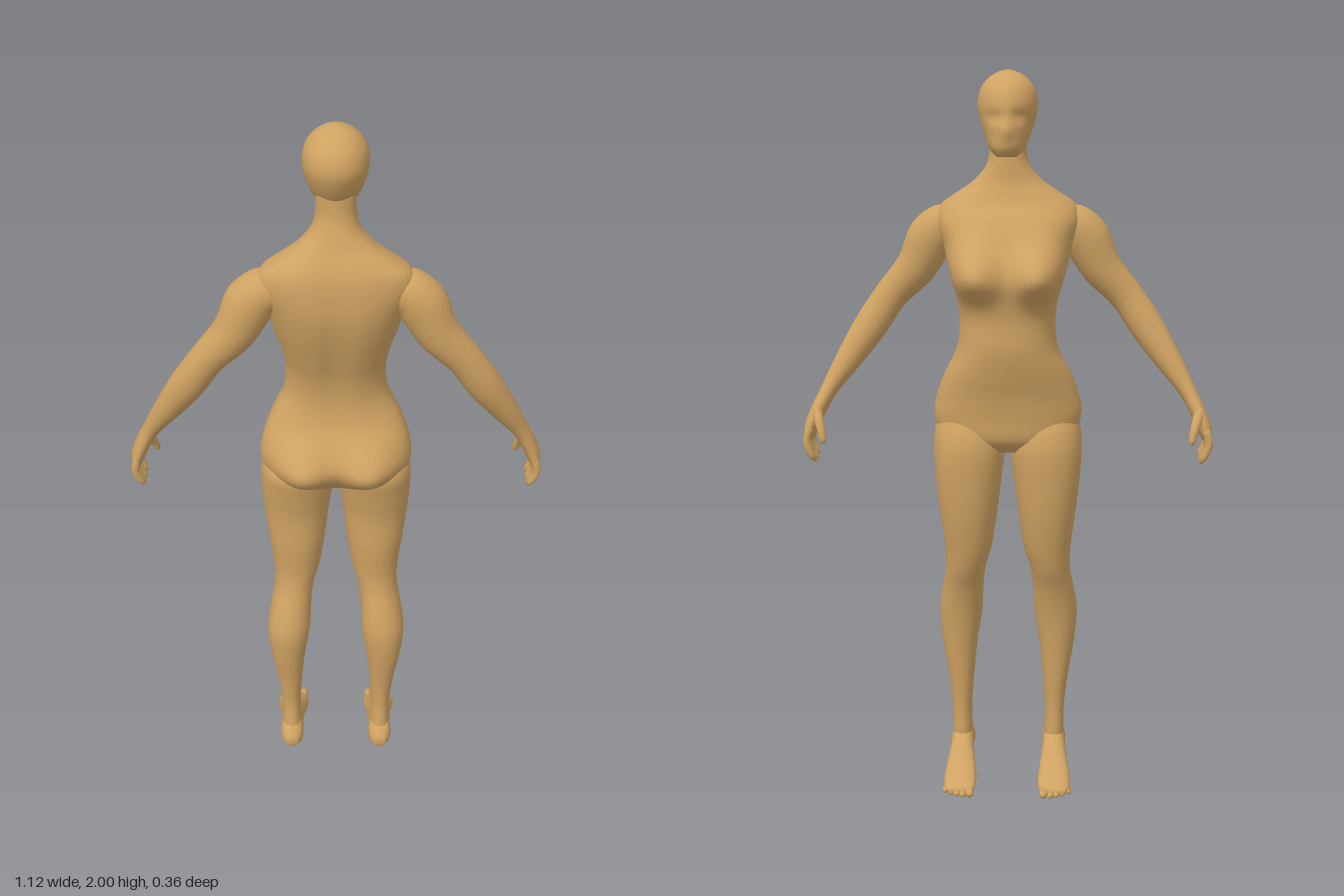
import * as THREE from 'three';

const V = (x, y, z) => new THREE.Vector3(x, y, z);
const skin = new THREE.MeshStandardMaterial({ color: 0xcfa262 });
skin.name = 'skin';

// Smooth closed skin through rings of points; "rule" may move each vertex
function loft(rings, steps = 4, rule) {
  const n = rings[0].length, rows = (rings.length - 1) * steps + 1;
  const pos = [], idx = [];
  const columns = rings[0].map((_, j) => new THREE.CatmullRomCurve3(rings.map(r => r[j])));
  for (let i = 0; i < rows; i++) {
    for (const column of columns) {
      const p = column.getPoint(i / (rows - 1));
      if (rule) rule(p);
      pos.push(p.x, p.y, p.z);
    }
  }
  for (let i = 0; i < rows - 1; i++) {
    for (let j = 0; j < n; j++) {
      const a = i * n + j, b = i * n + (j + 1) % n;
      idx.push(a, b, a + n, b, b + n, a + n);
    }
  }
  // end caps
  for (const row of [0, rows - 1]) {
    const c = V(0, 0, 0);
    for (let j = 0; j < n; j++) c.add(V(...pos.slice((row * n + j) * 3, (row * n + j) * 3 + 3)));
    c.divideScalar(n);
    const k = pos.length / 3;
    pos.push(c.x, c.y, c.z);
    for (let j = 0; j < n; j++) {
      const a = row * n + j, b = row * n + (j + 1) % n;
      if (row) idx.push(a, b, k); else idx.push(b, a, k);
    }
  }
  const g = new THREE.BufferGeometry();
  g.setAttribute('position', new THREE.Float32BufferAttribute(pos, 3));
  g.setIndex(idx);
  g.computeVertexNormals();
  return g;
}

// Ring around c: u sideways, v on one side and w on the other, e = squareness
function ring(c, u, v, w, n, e = 2) {
  return Array.from({ length: n }, (_, j) => {
    const a = j / n * Math.PI * 2, co = Math.cos(a), si = Math.sin(a);
    const p = Math.sign(co) * Math.abs(co) ** (2 / e), q = Math.abs(si) ** (2 / e);
    return c.clone().addScaledVector(u, p).addScaledVector(si > 0 ? v : w, q);
  });
}

// Level ring: height, x centre, half width, front z, widest z, rear z
const level = (y, x, hw, zf, zc, zb, n, e) =>
  ring(V(x, y, zc), V(hw, 0, 0), V(0, 0, zf - zc), V(0, 0, zb - zc), n, e);

// Limb along a path of [x, y, z, half thickness, half depth]
function limb(path, n, steps) {
  const pts = path.map(p => V(p[0], p[1], p[2]));
  return loft(path.map((p, i) => {
    const d = pts[Math.min(i + 1, pts.length - 1)].clone().sub(pts[Math.max(i - 1, 0)]).normalize();
    const u = V(0, 0, -1).cross(d).normalize(), v = d.clone().cross(u);
    return ring(pts[i], u.multiplyScalar(p[3]), v.clone().multiplyScalar(p[4]),
      v.clone().multiplyScalar(-p[4]), n);
  }), steps);
}

function mirrored(g) {
  const m = g.clone().scale(-1, 1, 1), ix = m.index.array;
  for (let i = 0; i < ix.length; i += 3) [ix[i], ix[i + 1]] = [ix[i + 1], ix[i]];
  m.computeVertexNormals();
  return m;
}

const bump = (x, y, sx, sy) => Math.exp(-((x / sx) ** 2 + (y / sy) ** 2) / 2);

export function createModel() {
  const model = new THREE.Group();
  model.name = 'figure';
  const add = (name, g) => {
    const m = new THREE.Mesh(g, skin);
    m.name = name;
    model.add(m);
  };
  const pair = (name, g) => {
    add('left' + name, g);
    add('right' + name, mirrored(g));
  };

  // torso and neck: y, half width, front z, widest z, rear z
  const torso = [
    [0.985, 0.09, -0.03, 0.04, 0.08], [1.02, 0.18, -0.06, 0.04, 0.115],
    [1.08, 0.203, -0.068, 0.04, 0.145], [1.14, 0.195, -0.078, 0.04, 0.135],
    [1.2, 0.172, -0.095, 0.03, 0.11], [1.27, 0.138, -0.11, 0.02, 0.1],
    [1.34, 0.13, -0.11, 0.02, 0.11], [1.4, 0.137, -0.115, 0.03, 0.13],
    [1.48, 0.16, -0.11, 0.04, 0.155], [1.55, 0.176, -0.085, 0.06, 0.168],
    [1.61, 0.195, -0.055, 0.08, 0.166], [1.65, 0.185, -0.025, 0.09, 0.16],
    [1.68, 0.145, -0.012, 0.09, 0.15], [1.71, 0.1, -0.003, 0.085, 0.135],
    [1.75, 0.062, 0, 0.065, 0.118], [1.79, 0.05, 0.003, 0.055, 0.104],
    [1.85, 0.05, 0.005, 0.055, 0.1],
  ].map(([y, w, f, c, b]) => level(y, 0, w, f, c, b, 56, 2.3));
  add('torso', loft(torso, 5, p => {
    const ax = Math.abs(p.x);
    const front = THREE.MathUtils.smoothstep(0.05 - p.z, 0, 0.1);
    const rear = THREE.MathUtils.smoothstep(p.z - 0.04, 0, 0.07);
    // chest, buttocks and spine hollow
    p.z -= front * 0.078 * bump(ax - 0.095, p.y - 1.455, 0.052, p.y < 1.455 ? 0.036 : 0.062);
    p.z += rear * 0.05 * bump(ax - 0.09, p.y - 1.075, 0.05, 0.05);
    p.z -= rear * 0.012 * bump(ax, p.y - 1.45, 0.025, 0.14);
  }));

  // head
  const head = [
    [1.774, 0.026, -0.076, -0.045, -0.005], [1.795, 0.046, -0.09, -0.02, 0.055],
    [1.83, 0.06, -0.09, 0.01, 0.095], [1.87, 0.073, -0.088, 0.03, 0.121],
    [1.91, 0.08, -0.082, 0.035, 0.134], [1.95, 0.073, -0.062, 0.038, 0.124],
    [1.98, 0.05, -0.02, 0.04, 0.096], [1.995, 0.024, 0.012, 0.04, 0.065],
    [2, 0.004, 0.036, 0.04, 0.044],
  ].map(([y, w, f, c, b]) => level(y, 0, w, f, c, b, 40));
  add('head', loft(head, 5, p => {
    if (p.z > 0) return;
    // nose and eye sockets
    p.z -= 0.012 * bump(p.x, p.y - 1.837, 0.011, 0.016);
    p.z += 0.011 * bump(Math.abs(p.x) - 0.032, p.y - 1.874, 0.014, 0.012);
  }));

  // legs: y, inner x, outer x, front z, rear z
  const leg = [
    [0.06, 0.105, 0.162, 0.065, 0.165], [0.12, 0.105, 0.163, 0.056, 0.152],
    [0.2, 0.107, 0.163, 0.058, 0.14], [0.3, 0.1, 0.174, 0.05, 0.146],
    [0.4, 0.09, 0.19, 0.04, 0.16], [0.5, 0.075, 0.198, 0.026, 0.166],
    [0.58, 0.071, 0.186, 0.005, 0.147], [0.64, 0.063, 0.176, -0.02, 0.128],
    [0.7, 0.046, 0.177, -0.037, 0.12], [0.8, 0.03, 0.189, -0.058, 0.125],
    [0.9, 0.018, 0.2, -0.069, 0.123], [0.99, 0.007, 0.205, -0.072, 0.137],
    [1.05, 0.01, 0.2, -0.058, 0.145], [1.1, 0.04, 0.18, -0.03, 0.11],
  ].map(([y, a, b, f, r]) => level(y, (a + b) / 2, (b - a) / 2, f, (f + r) / 2, r, 32, 2.15));
  pair('Leg', loft(leg, 4));

  // feet, toe to heel: z, half width, sole y, top y
  const foot = [
    [-0.094, 0.03, 0.006, 0.024], [-0.075, 0.042, 0.003, 0.034],
    [-0.04, 0.046, 0.006, 0.054], [0, 0.042, 0.016, 0.083],
    [0.05, 0.035, 0.031, 0.122], [0.1, 0.033, 0.042, 0.142],
    [0.15, 0.033, 0.045, 0.125], [0.176, 0.017, 0.06, 0.095],
  ].map(([z, w, a, b]) => ring(V(0.134, (a + b) / 2, z), V(w, 0, 0),
    V(0, (b - a) / 2, 0), V(0, (a - b) / 2, 0), 24, 2.2));
  pair('Foot', loft(foot, 4));

  // toes, the big one on the inside
  for (let i = 0; i < 5; i++) {
    const r = i ? 0.009 : 0.012, x = 0.104 + i * 0.0165 + (i ? 0.004 : 0);
    const tip = -0.112 + i * i * 0.0018;
    const toe = [[tip, 0.35], [tip + 0.006, 0.9], [tip + 0.018, 1], [tip + 0.045, 0.9]]
      .map(([z, k]) => ring(V(x, r + 0.002, z), V(r * k, 0, 0), V(0, r * k, 0), V(0, -r * k, 0), 10));
    pair('Toe' + (i + 1), loft(toe, 3));
  }

  // arms and palms
  pair('Arm', limb([
    [0.13, 1.6, 0.085, 0.045, 0.045], [0.175, 1.595, 0.085, 0.058, 0.056],
    [0.212, 1.562, 0.086, 0.064, 0.06], [0.257, 1.478, 0.09, 0.055, 0.053],
    [0.325, 1.403, 0.09, 0.046, 0.043], [0.38, 1.322, 0.078, 0.046, 0.043],
    [0.44, 1.232, 0.054, 0.036, 0.036], [0.495, 1.145, 0.026, 0.023, 0.03],
    [0.525, 1.085, 0.008, 0.021, 0.042], [0.542, 1.04, 0.002, 0.018, 0.045],
    [0.544, 1.02, 0.002, 0.01, 0.038],
  ], 28, 5));

  // fingers
  for (let i = 0; i < 4; i++) {
    const z = 0.037 - i * 0.0235, drop = [0.012, 0, 0, 0.008][i];
    pair('Finger' + (i + 1), limb([
      [0.54, 1.05, z, 0.011, 0.011], [0.548, 1.015, z * 1.05, 0.0115, 0.011],
      [0.542, 0.985 + drop / 2, z * 1.08, 0.01, 0.01],
      [0.533, 0.962 + drop, z * 1.05, 0.008, 0.008], [0.529, 0.953 + drop, z, 0.003, 0.003],
    ], 10, 3));
  }
  pair('Thumb', limb([
    [0.522, 1.1, -0.012, 0.014, 0.016], [0.513, 1.073, -0.038, 0.014, 0.014],
    [0.504, 1.045, -0.054, 0.011, 0.011], [0.499, 1.022, -0.061, 0.009, 0.009],
    [0.497, 1.013, -0.063, 0.003, 0.003],
  ], 10, 3));

  return model;
}
